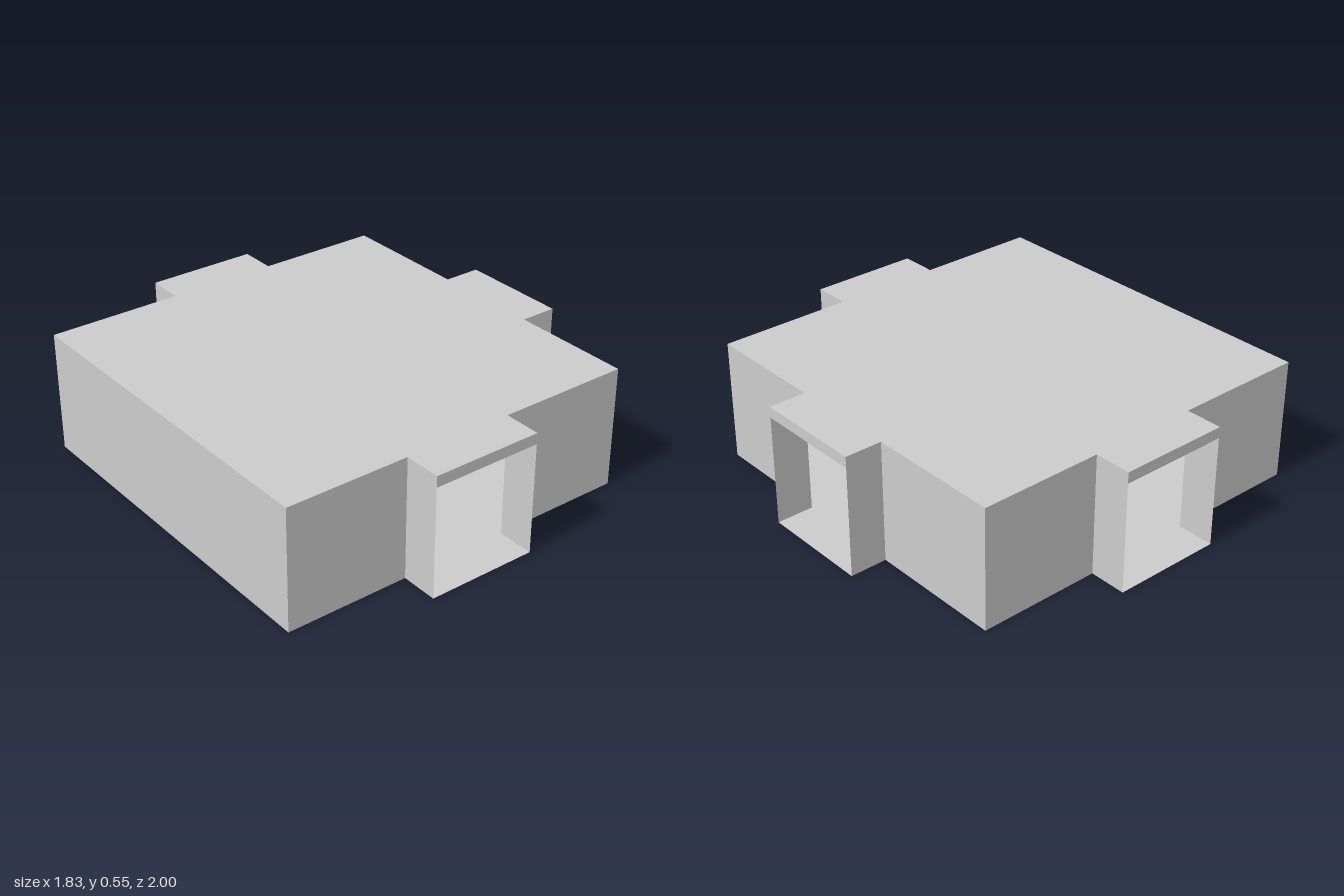
import * as THREE from 'three';

const HALF = 0.832;    // half width of the square room
const HEIGHT = 0.55;
const DEPTH = 0.168;   // how far a doorway projects
const DOOR_X = -0.025; // doorway centre along its wall
const DOOR_HALF = 0.25;
const DOOR_TOP = 0.5;

const material = new THREE.MeshStandardMaterial({
  color: 0xcccccc, flatShading: true, side: THREE.DoubleSide,
});

function part(parent, name, geometry, x = 0, y = 0, z = 0) {
  const mesh = new THREE.Mesh(geometry, material);
  mesh.name = name;
  mesh.position.set(x, y, z);
  parent.add(mesh);
  return mesh;
}

// Flat wall, optionally notched for a door
function wallGeometry(hasDoor) {
  const points = [[-HALF, 0]];
  if (hasDoor) {
    const a = DOOR_X - DOOR_HALF, b = DOOR_X + DOOR_HALF;
    points.push([a, 0], [a, DOOR_TOP], [b, DOOR_TOP], [b, 0]);
  }
  points.push([HALF, 0], [HALF, HEIGHT], [-HALF, HEIGHT]);
  return new THREE.ShapeGeometry(new THREE.Shape(points.map(([x, y]) => new THREE.Vector2(x, y))));
}

// Short open passage: thin sides and floor, thick lintel
function makeDoorway() {
  const door = new THREE.Group();
  door.name = 'doorway';
  door.position.set(DOOR_X, 0, HALF + DEPTH / 2);
  for (const side of [-1, 1]) {
    const jamb = new THREE.PlaneGeometry(DEPTH, HEIGHT).rotateY(side * Math.PI / 2);
    part(door, side < 0 ? 'rightJamb' : 'leftJamb', jamb, side * DOOR_HALF, HEIGHT / 2, 0);
  }
  part(door, 'threshold', new THREE.PlaneGeometry(2 * DOOR_HALF, DEPTH).rotateX(-Math.PI / 2));
  part(door, 'lintel', new THREE.BoxGeometry(2 * DOOR_HALF, HEIGHT - DOOR_TOP, DEPTH),
    0, (HEIGHT + DOOR_TOP) / 2, 0);
  return door;
}

export function createModel() {
  const model = new THREE.Group();
  model.name = 'room';
  const room = new THREE.Group();
  room.name = 'roomShell';
  room.position.x = -DEPTH / 2;
  model.add(room);

  // Floor and ceiling
  const slab = new THREE.PlaneGeometry(2 * HALF, 2 * HALF).rotateX(-Math.PI / 2);
  part(room, 'floor', slab);
  part(room, 'ceiling', slab, 0, HEIGHT, 0);

  // Four walls, three of them with a doorway
  ['front', 'left', 'back', 'right'].forEach((name, i) => {
    const side = new THREE.Group();
    side.name = name + 'Side';
    side.rotation.y = i * Math.PI / 2;
    const hasDoor = name !== 'right';
    part(side, name + 'Wall', wallGeometry(hasDoor), 0, 0, HALF);
    if (hasDoor) side.add(makeDoorway());
    room.add(side);
  });
  return model;
}
